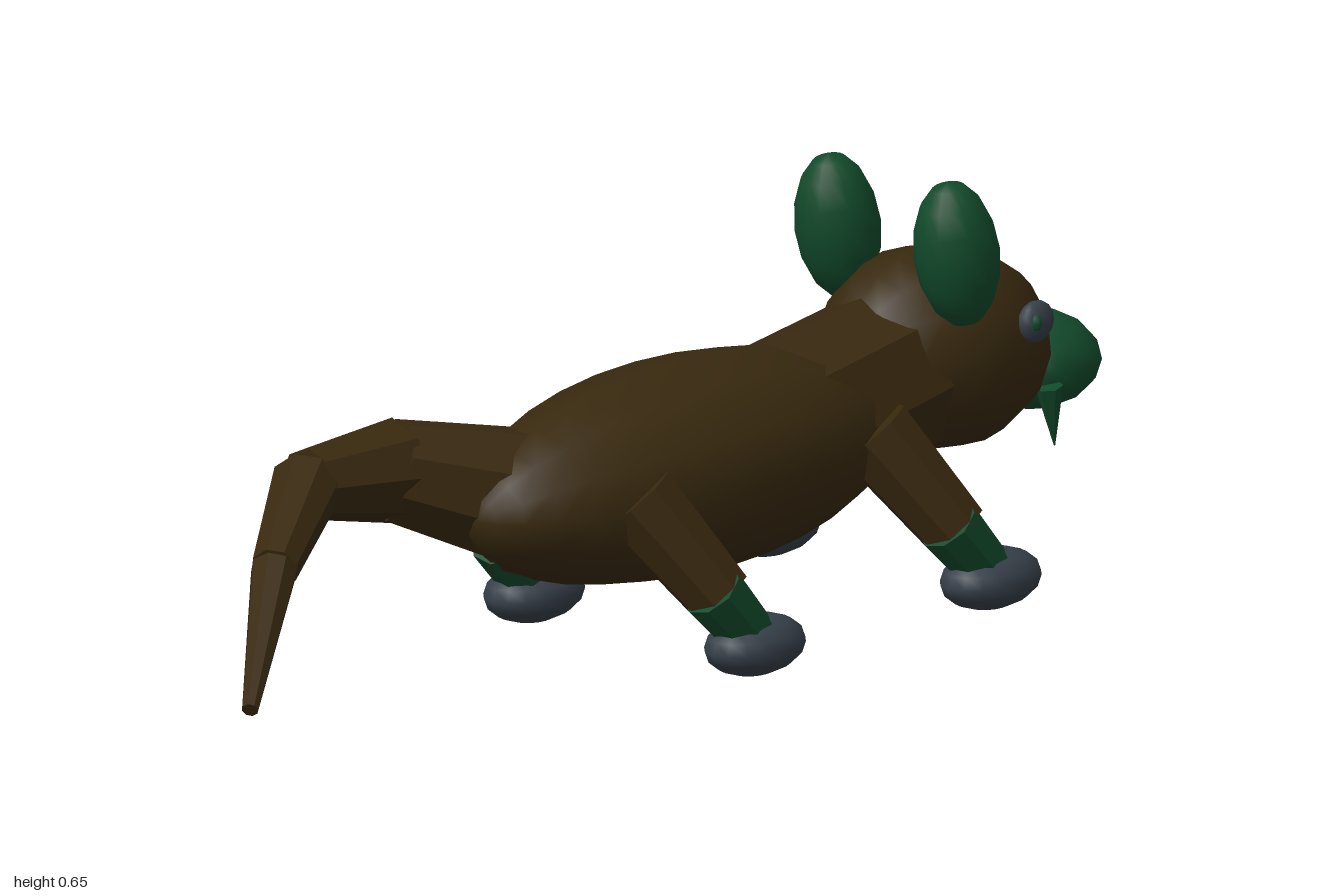
import * as THREE from 'three';

const brown = new THREE.MeshStandardMaterial({ color: 0x38290f });
brown.name = 'brown fur';
const green = new THREE.MeshStandardMaterial({ color: 0x124a2b });
green.name = 'dark green';
const slate = new THREE.MeshStandardMaterial({ color: 0x363f49 });
slate.name = 'slate grey';

const V = (x, y, z) => new THREE.Vector3(x, y, z);

export function createModel() {
  const model = new THREE.Group();
  model.name = 'creature';

  const add = (name, geometry, material) => {
    const mesh = new THREE.Mesh(geometry, material);
    mesh.name = name;
    model.add(mesh);
    return mesh;
  };

  // Smooth ellipsoid; alongX lays the poles on the x axis
  const ellipsoid = (name, material, center, radii, { tilt = 0, alongX = false, sides = 16, rows = 8 } = {}) => {
    const g = new THREE.SphereGeometry(1, sides, rows);
    if (alongX) g.rotateZ(-Math.PI / 2);
    g.scale(...radii);
    const mesh = add(name, g, material);
    mesh.position.copy(center);
    mesh.rotation.z = tilt;
    return mesh;
  };

  // Faceted tapered limb from a to b
  const limb = (name, material, a, b, ra, rb, sides = 8) => {
    const g = new THREE.CylinderGeometry(rb, ra, a.distanceTo(b), sides).toNonIndexed();
    g.computeVertexNormals();
    const mesh = add(name, g, material);
    mesh.position.copy(a).lerp(b, 0.5);
    mesh.quaternion.setFromUnitVectors(V(0, 1, 0), b.clone().sub(a).normalize());
    return mesh;
  };

  // Torso, neck and head
  ellipsoid('body', brown, V(0.1, 0.275, 0), [0.46, 0.168, 0.19], { alongX: true, sides: 12, rows: 16 });
  limb('neck', brown, V(0.3, 0.285, 0), V(0.57, 0.33, 0), 0.14, 0.135);
  ellipsoid('head', brown, V(0.67, 0.35, 0), [0.205, 0.162, 0.158], { alongX: true, sides: 12, rows: 12, tilt: -0.15 });
  ellipsoid('snout', green, V(0.885, 0.289, 0), [0.115, 0.077, 0.108], { tilt: -0.05 });

  // Paired parts
  for (const s of [1, -1]) {
    const side = s > 0 ? 'left' : 'right';
    ellipsoid(`${side}Ear`, green, V(0.588, 0.535, s * 0.124), [0.068, 0.119, 0.065], { tilt: 0.18 });
    ellipsoid(`${side}Eye`, slate, V(0.745, 0.4, s * 0.143), [0.036, 0.033, 0.02]);
    ellipsoid(`${side}Pupil`, green, V(0.733, 0.402, s * 0.15), [0.014, 0.018, 0.015], { sides: 8, rows: 6 });
    limb(`${side}Fang`, green, V(0.83, 0.272, s * 0.092), V(0.85, 0.172, s * 0.085), 0.022, 0.001, 6);

    // Hind and front legs share one shape
    for (const [pair, dx] of [['front', 0], ['hind', -0.53]]) {
      const hip = V(0.4 + dx, 0.29, s * 0.12);
      const knee = V(0.483 + dx, 0.135, s * 0.22);
      const ankle = V(0.54 + dx, 0.065, s * 0.23);
      limb(`${pair} ${side} upperLeg`, brown, hip, knee, 0.066, 0.053);
      limb(`${pair} ${side} lowerLeg`, green, V(0.463 + dx, 0.152, s * 0.219), ankle, 0.05, 0.042);
      ellipsoid(`${pair} ${side} foot`, slate, V(0.55 + dx, 0.049, s * 0.23), [0.094, 0.047, 0.063]);
    }
  }

  // Curling tail made of tapering segments
  const joints = [V(-0.22, 0.28, -0.03), V(-0.41, 0.343, -0.13), V(-0.59, 0.356, -0.138),
    V(-0.78, 0.278, -0.03), V(-0.99, 0.123, 0.114)];
  const radii = [0.112, 0.082, 0.056, 0.037, 0.013];
  for (let i = 0; i < 4; i++) {
    limb(`tailSegment${i + 1}`, brown, joints[i], joints[i + 1], radii[i], radii[i + 1]);
  }

  return model;
}
